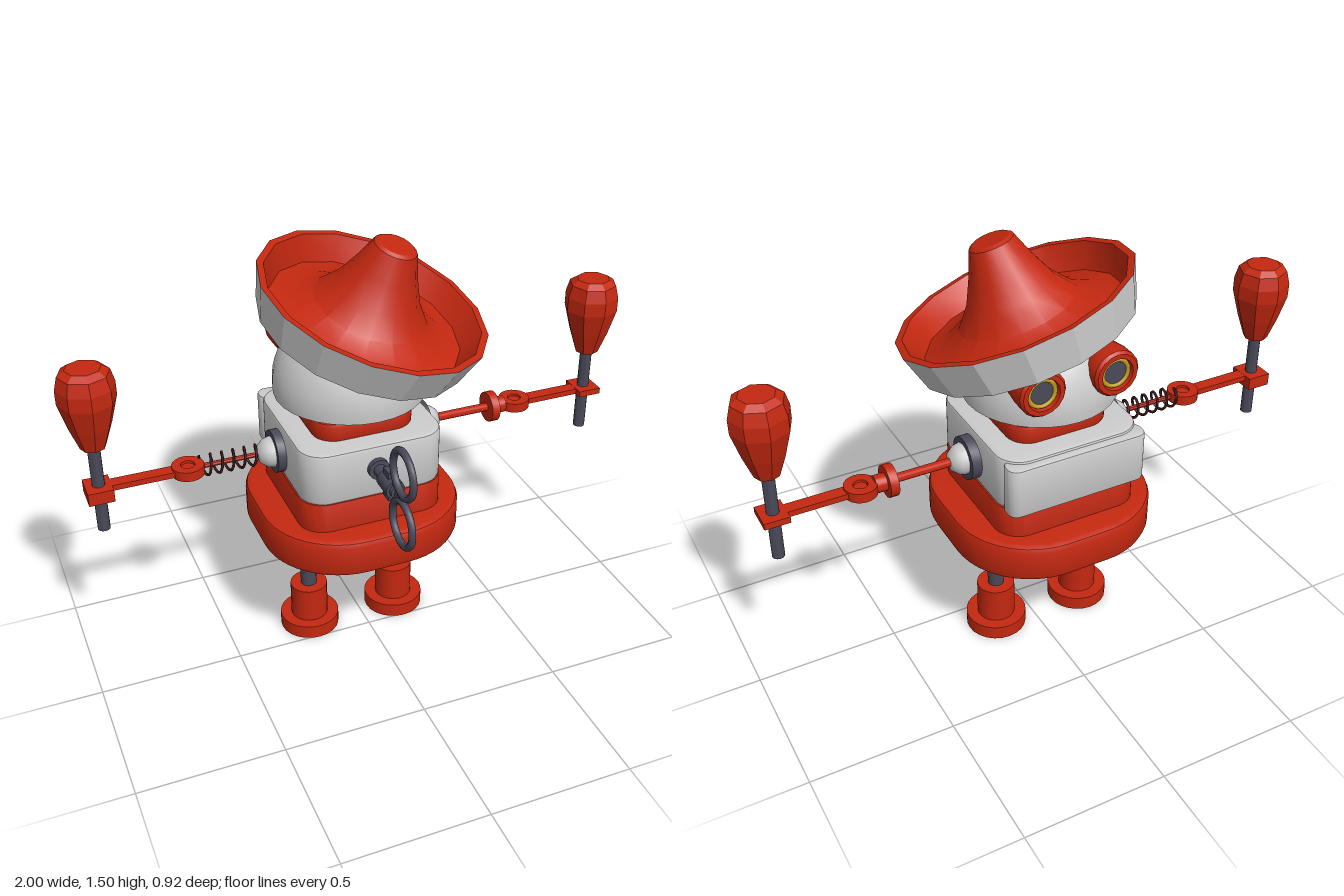
import * as THREE from 'three';
import { toCreasedNormals } from 'three/addons/utils/BufferGeometryUtils.js';

const mat = (color, flatShading = false) =>
  new THREE.MeshStandardMaterial({ color, flatShading, side: THREE.DoubleSide });

export function createModel() {
  const model = new THREE.Group();
  const red = mat(0xc42810), redFlat = mat(0xc42810, true), white = mat(0xcccccc), whiteFlat = mat(0xcccccc, true);
  const dark = mat(0x4a4a5a), yellow = mat(0xc8a020), wire = mat(0x3a1a18);
  const CX = -0.03, CZ = -0.1; // body axis

  function add(name, geo, material, x = 0, y = 0, z = 0, parent = model) {
    const mesh = new THREE.Mesh(geo, material);
    mesh.name = name;
    mesh.position.set(x, y, z);
    parent.add(mesh);
    return mesh;
  }
  const creased = (geo, angle = 0.6) => toCreasedNormals(geo, angle);
  const cyl = (r0, r1, h, n = 20) => creased(new THREE.CylinderGeometry(r1, r0, h, n));
  const cylX = (r0, r1, h, n = 20) => cyl(r0, r1, h, n).rotateZ(-Math.PI / 2); // r1 at +x
  const cylZ = (r0, r1, h, n = 20) => cyl(r0, r1, h, n).rotateX(Math.PI / 2); // r1 at +z
  const lathe = (pts, n) => new THREE.LatheGeometry(pts.map(p => new THREE.Vector2(...p)), n);

  // Upright slab with rounded corners (radius r) and bevelled rims, from y0 to y1
  function slab(hx, hz, r, y0, y1, bevel, bevelH = bevel, bevelSegments = 2) {
    const a = hx - bevel, b = hz - bevel, q = Math.max(r - bevel, 0.01);
    const s = new THREE.Shape();
    s.absarc(a - q, b - q, q, 0, Math.PI / 2);
    s.absarc(-a + q, b - q, q, Math.PI / 2, Math.PI);
    s.absarc(-a + q, -b + q, q, Math.PI, Math.PI * 1.5);
    s.absarc(a - q, -b + q, q, Math.PI * 1.5, Math.PI * 2);
    const g = new THREE.ExtrudeGeometry(s, {
      depth: y1 - y0 - 2 * bevelH, bevelSize: bevel, bevelThickness: bevelH, bevelSegments, curveSegments: 6
    });
    return creased(g.rotateX(-Math.PI / 2).translate(0, y0 + bevelH, 0), 0.5);
  }

  // Body
  add('bellyBottom', slab(0.255, 0.255, 0.15, 0.34, 0.56, 0.07, 0.09, 4), red, CX, 0, CZ);
  add('skirt', slab(0.353, 0.355, 0.28, 0.435, 0.57, 0.02), red, CX, 0, CZ);
  add('waist', slab(0.255, 0.257, 0.09, 0.5, 0.678, 0.005), red, CX, 0, CZ);
  add('chest', slab(0.253, 0.257, 0.09, 0.675, 0.865, 0.012), white, CX, 0, CZ);
  add('chestPlate', slab(0.25, 0.04, 0.035, 0.676, 0.855, 0.008), white, CX, 0, -0.346);
  add('collar', slab(0.178, 0.18, 0.08, 0.86, 0.93, 0.012), red, CX, 0, CZ);
  add('neck', cyl(0.07, 0.07, 0.05), dark, CX, 0.945, CZ);

  // Head: sphere cut flat just below its middle
  const head = [[0, -0.033]];
  for (let i = 0; i <= 16; i++) {
    const t = -0.125 + (Math.PI / 2 + 0.125) * i / 16;
    head.push([0.262 * Math.cos(t), 0.262 * Math.sin(t)]);
  }
  add('head', creased(lathe(head, 32)), white, CX, 0.99, CZ);

  // Eyes, on the -z face
  for (const s of [-1, 1]) {
    const eye = new THREE.Group();
    eye.name = 'eye';
    eye.position.set(CX + s * 0.13, 1.1, -0.37);
    model.add(eye);
    const barrel = lathe([[0.06, 0.2], [0.08, 0.06], [0.08, 0.01], [0.072, 0], [0.056, 0], [0.05, 0.025]], 16);
    add('eyeBarrel', creased(barrel.rotateX(Math.PI / 2)), red, 0, 0, 0, eye);
    add('eyeRing', new THREE.TorusGeometry(0.046, 0.008, 6, 20), yellow, 0, 0, 0.016, eye);
    add('eyeLens', cylZ(0.046, 0.046, 0.02), dark, 0, 0, 0.025, eye);
  }

  // Tilted hat with upturned brim
  const hat = new THREE.Group();
  hat.name = 'hat';
  hat.position.set(0.05, 1.28, -0.075);
  hat.quaternion.setFromUnitVectors(new THREE.Vector3(0, 1, 0), new THREE.Vector3(0.27, 0.935, 0.225).normalize());
  model.add(hat);
  const crown = [[0.402, 0], [0.378, 0], [0.335, -0.085], [0.27, -0.075], [0.2, -0.035], [0.145, 0.035],
    [0.105, 0.12], [0.074, 0.2], [0.062, 0.208], [0, 0.21]];
  add('hatTop', creased(lathe(crown, 16), 0.45), red, 0, 0, 0, hat);
  add('brimWall', lathe([[0.365, -0.13], [0.402, 0]], 16), whiteFlat, 0, 0, 0, hat);
  add('brimUnderside', lathe([[0.2, -0.06], [0.29, -0.095], [0.365, -0.13]], 16), redFlat, 0, 0, 0, hat);

  // Legs
  for (const s of [-1, 1]) {
    const leg = new THREE.Group();
    leg.name = 'leg';
    leg.position.set(CX + s * 0.168, 0, CZ);
    model.add(leg);
    add('foot', cyl(0.107, 0.107, 0.05, 24), red, 0, 0.025, 0, leg);
    add('boot', cyl(0.067, 0.067, 0.13), red, 0, 0.115, 0, leg);
    add('shin', cyl(0.029, 0.029, 0.18, 14), dark, 0, 0.26, 0, leg);
    add('hip', creased(lathe([[0, 0.31], [0.077, 0.31], [0.077, 0.335], [0.05, 0.37], [0, 0.385]], 20)), red, 0, 0, 0, leg);
  }

  // Arms with sockets and maracas; each is built along +x from the body axis
  function arm(s) {
    const g = new THREE.Group();
    g.name = s > 0 ? 'leftArm' : 'rightArm';
    g.position.set(0, 0.76, -0.11);
    model.add(g);
    const put = (name, geo, m, x, y = 0) => add(name, geo, m, s * x, y, 0, g);
    const shift = s > 0 ? 0 : 0.055; // body sits off centre
    put('socketRing', cylX(0.075, 0.075, 0.05, 24), dark, 0.232 + shift);
    const joint = [[0.055, 0], [0.05, 0.025], [0.032, 0.047], [0, 0.055]];
    put('socketJoint', lathe(joint, 20).rotateZ(-s * Math.PI / 2), white, 0.255 + shift);
    const ring = s > 0 ? 0.615 : 0.605;
    if (s > 0) {
      put('upperArm', cylX(0.015, 0.015, 0.3, 12), red, 0.44);
      put('elbowDisc', cylX(0.055, 0.055, 0.03), red, 0.518);
      put('elbowSleeve', cylX(0.03, 0.03, 0.05), red, 0.545);
    } else {
      // Coil spring around a thin core
      put('upperArm', cylX(0.009, 0.009, 0.28, 8), red, 0.45);
      const pts = [];
      for (let i = 0; i <= 72; i++) {
        const a = i / 12 * Math.PI * 2;
        pts.push(new THREE.Vector3(-0.33 - 0.235 * i / 72, 0.034 * Math.cos(a), 0.034 * Math.sin(a)));
      }
      put('spring', new THREE.TubeGeometry(new THREE.CatmullRomCurve3(pts), 144, 0.005, 5), wire, 0);
    }
    const eyelet = lathe([[0.024, -0.017], [0.055, -0.017], [0.055, 0.017], [0.024, 0.017], [0.024, -0.017]], 20);
    put('elbowEyelet', creased(eyelet), red, ring);
    put('elbowPin', cyl(0.022, 0.022, 0.018), red, ring);
    put('forearm', new THREE.BoxGeometry(0.29, 0.02, 0.045), red, 0.8);
    put('hand', new THREE.BoxGeometry(0.085, s > 0 ? 0.022 : 0.045, 0.1), red, 0.905, s > 0 ? 0 : -0.012);
    // Maraca
    put('maracaHandle', cyl(0.021, 0.021, 0.34, 12), dark, 0.903, 0.01);
    const bulb = [[0, 0.155], [0.042, 0.155], [0.07, 0.235], [0.095, 0.325], [0.095, 0.375], [0.083, 0.42], [0.058, 0.437], [0, 0.437]];
    put('maracaBulb', creased(lathe(bulb, 8), 0.4), redFlat, 0.903);
  }
  arm(1);
  arm(-1);

  // Wind-up key on the +z side
  const key = new THREE.Group();
  key.name = 'windUpKey';
  key.position.set(-0.033, 0.785, 0);
  model.add(key);
  add('keyBase', cylZ(0.037, 0.037, 0.03), dark, 0, 0, 0.16, key);
  add('keyStem', cylZ(0.022, 0.022, 0.17, 12), dark, 0, 0, 0.235, key);
  add('keySleeve', cylZ(0.033, 0.033, 0.08, 14), dark, 0, 0, 0.265, key);
  add('keyPlate', new THREE.BoxGeometry(0.03, 0.105, 0.045), dark, 0, 0, 0.26, key);
  const web = cylZ(0.05, 0.015, 0.1, 4);
  add('keyWeb', web.rotateZ(Math.PI / 4).scale(0.4, 1, 1), dark, 0, 0, 0.32, key);
  for (const s of [-1, 1]) {
    add('keyLoop', new THREE.TorusGeometry(0.079, 0.013, 8, 28).rotateY(Math.PI / 2), dark, 0, s * 0.093, 0.363, key);
  }
  return model;
}
